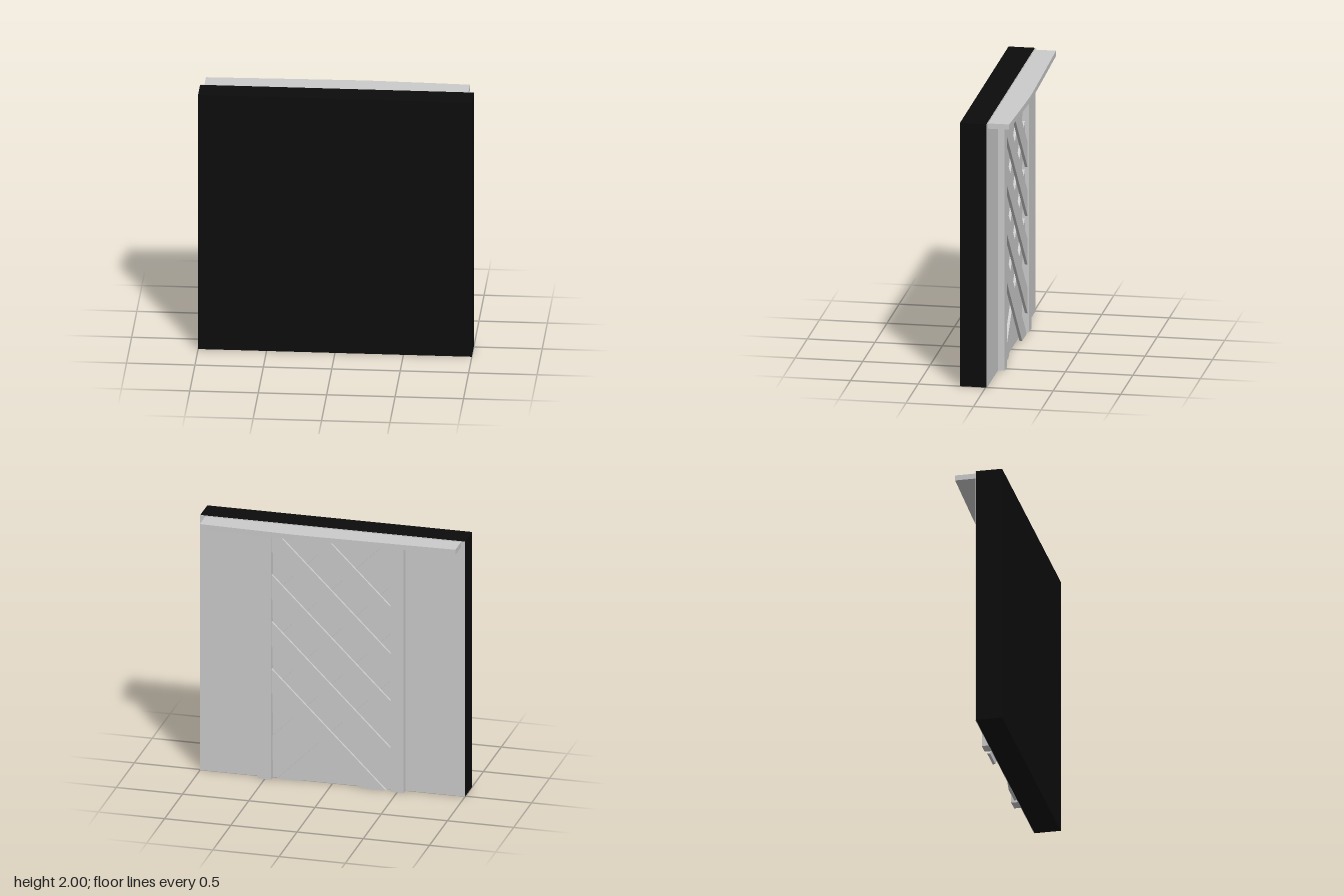
import * as THREE from 'three';

const BACK = -0.01; // plane of the wall's rear face
const TOP = 1.96; // underside of the cap
const grey = new THREE.MeshStandardMaterial({ color: 0xcccccc });
const black = new THREE.MeshStandardMaterial({ color: 0x0c0c0c });

function add(parent, name, geometry, material = grey) {
  const mesh = new THREE.Mesh(geometry, material);
  mesh.name = name;
  parent.add(mesh);
  return mesh;
}

// Box given by its lower and upper corners
function box(parent, name, a, b, material) {
  const mesh = add(parent, name, new THREE.BoxGeometry(b[0] - a[0], b[1] - a[1], b[2] - a[2]), material);
  mesh.position.set((a[0] + b[0]) / 2, (a[1] + b[1]) / 2, (a[2] + b[2]) / 2);
}

// Keep the part of a polygon where side(p) >= 0
function clip(points, side) {
  const out = [];
  points.forEach((p, i) => {
    const q = points[(i + 1) % points.length];
    const sp = side(p), sq = side(q);
    if (sp >= 0) out.push(p);
    if (sp * sq < 0) out.push(p.clone().lerp(q, sp / (sp - sq)));
  });
  return out;
}

// Diagonal slat y = dir * x + offset, trimmed to the opening between the posts
function slat(parent, name, dir, offset, zBack, depth) {
  const half = 0.095, reach = 3;
  let pts = [[-reach, -half], [reach, -half], [reach, half], [-reach, half]]
    .map(([x, d]) => new THREE.Vector2(x, dir * x + offset + d));
  const limits = [p => p.x + 0.46, p => 0.46 - p.x, p => p.y, p => TOP - p.y];
  for (const limit of limits) pts = clip(pts, limit);
  const geometry = new THREE.ExtrudeGeometry(new THREE.Shape(pts), { depth, bevelEnabled: false });
  geometry.translate(0, 0, zBack);
  add(parent, name, geometry);
}

export function createModel() {
  const model = new THREE.Group();
  model.name = 'latticeWall';

  // Dark wall slab with a lighter rear face
  box(model, 'wall', [-1, 0, BACK + 0.004], [1, 2, 0.19], black);
  box(model, 'rearPanel', [-1, 0, BACK], [1, 2, BACK + 0.004]);

  // Two upright posts
  for (const s of [-1, 1]) {
    box(model, s > 0 ? 'leftPost' : 'rightPost', [s * 0.5 - 0.05, 0, -0.06], [s * 0.5 + 0.05, TOP, BACK]);
  }

  // Crossed lattice: rising slats lie over the falling ones
  const lattice = new THREE.Group();
  lattice.name = 'lattice';
  model.add(lattice);
  for (let i = 0; i < 5; i++) {
    const offset = 0.32 + i * 0.37;
    slat(lattice, 'innerSlat', -1, offset, -0.03, 0.02);
    slat(lattice, 'outerSlat', 1, offset, -0.05, 0.02);
  }

  // Cap shelf with a gently bowed rear edge (shape y becomes -z)
  const outline = [[-0.97, 0.01], [0.96, 0.01], [0.96, 0.167], [0.6, 0.18], [0.25, 0.19],
    [0.1, 0.19], [-0.4, 0.18], [-0.97, 0.167]].map(p => new THREE.Vector2(...p));
  const cap = new THREE.ExtrudeGeometry(new THREE.Shape(outline), { depth: 0.04, bevelEnabled: false });
  cap.rotateX(-Math.PI / 2);
  add(model, 'cap', cap).position.y = 1.955;

  return model;
}
